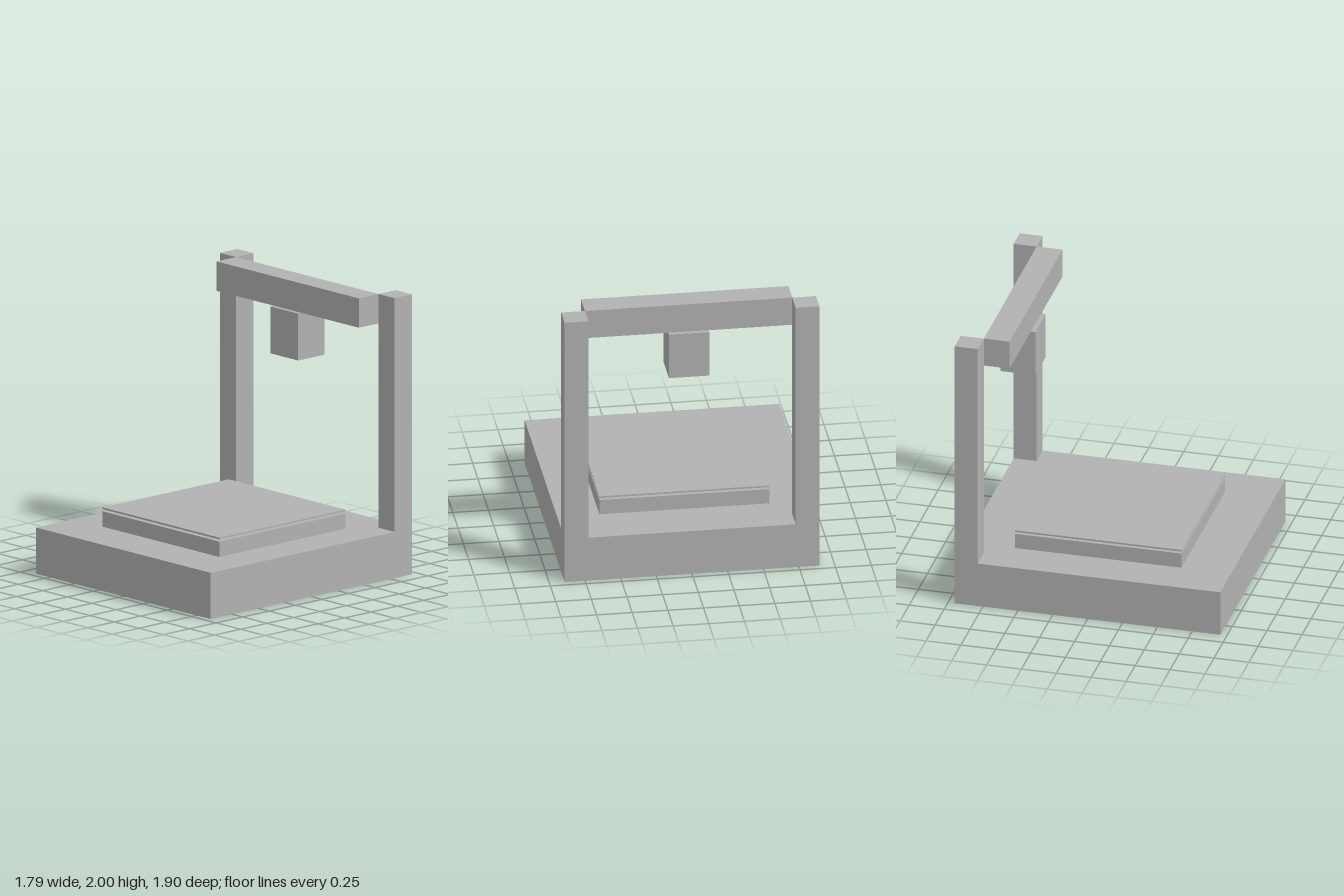
import * as THREE from 'three';

export function createModel() {
  const group = new THREE.Group();
  const grey = new THREE.MeshStandardMaterial({ color: 0xb2b2b2 });
  grey.name = 'grey';

  // Box given by its extents on each axis
  const block = (name, [x0, x1], [y0, y1], [z0, z1]) => {
    const mesh = new THREE.Mesh(new THREE.BoxGeometry(x1 - x0, y1 - y0, z1 - z0), grey);
    mesh.position.set((x0 + x1) / 2, (y0 + y1) / 2, (z0 + z1) / 2);
    mesh.name = name;
    group.add(mesh);
  };

  const halfWidth = 0.893, halfDepth = 0.952, innerX = 0.727;
  const baseTop = 0.33, postFront = -0.787;

  block('base', [-halfWidth, halfWidth], [0, baseTop], [-halfDepth, halfDepth]);

  // Print bed with a thin plate floating just above it
  block('bed', [-0.597, 0.597], [baseTop, 0.44], [-0.597, 0.597]);
  block('buildPlate', [-0.597, 0.597], [0.455, 0.468], [-0.597, 0.597]);

  // Rear posts
  block('leftPost', [innerX, halfWidth], [baseTop, 2], [-halfDepth, postFront]);
  block('rightPost', [-halfWidth, -innerX], [baseTop, 2], [-halfDepth, postFront]);

  // Crossbeam in front of the posts, with the tool head hung below
  block('crossbeam', [-innerX, innerX], [1.79, 2], [postFront, -0.602]);
  block('toolHead', [-0.142, 0.142], [1.455, 1.79], [-0.818, -0.57]);

  return group;
}
